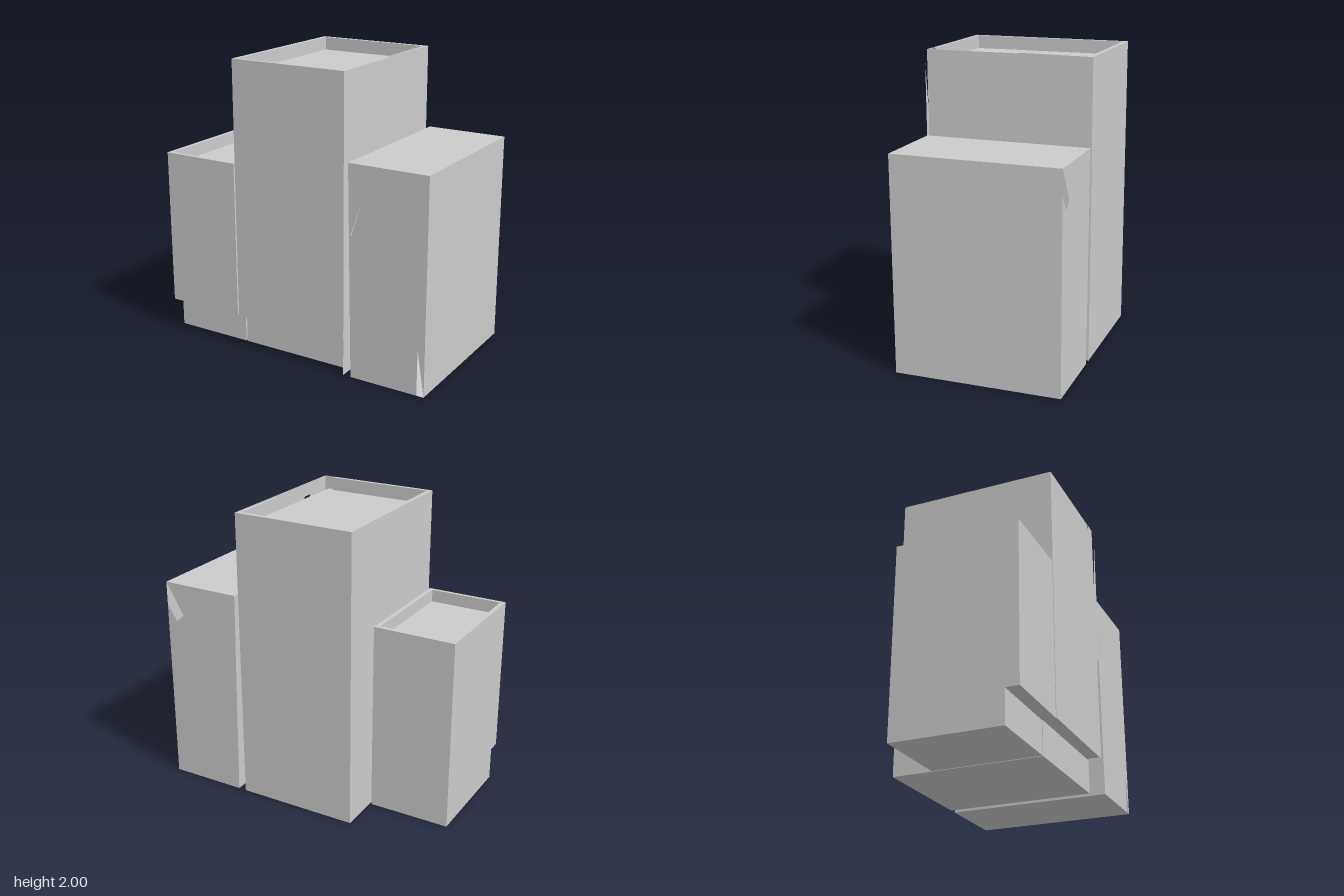
import * as THREE from 'three';

const grey = new THREE.MeshStandardMaterial({ color: 0xcccccc, flatShading: true, side: THREE.DoubleSide });

const shapeOf = pts => new THREE.Shape(pts.map(p => new THREE.Vector2(...p)));

function add(parent, name, geometry) {
  const mesh = new THREE.Mesh(geometry, grey);
  mesh.name = name;
  parent.add(mesh);
  return mesh;
}

// Flat panel facing z, outline in (x, y)
function panelZ(parent, name, pts, z, back = false, slit) {
  const shape = shapeOf(pts);
  if (slit) shape.holes.push(shapeOf(slit));
  const g = new THREE.ShapeGeometry(shape);
  if (back) {
    g.index.array.reverse();
    g.computeVertexNormals();
  }
  g.translate(0, 0, z);
  return add(parent, name, g);
}

// Flat panel facing +x, outline in (z, y)
function panelX(parent, name, pts, x, slit) {
  const shape = shapeOf(pts.map(([z, y]) => [-z, y]));
  if (slit) shape.holes.push(shapeOf(slit.map(([z, y]) => [-z, y])));
  return add(parent, name, new THREE.ShapeGeometry(shape).rotateY(Math.PI / 2).translate(x, 0, 0));
}

// Solid body with a set-back plinth: side profile in (z, y), swept along x
function body(parent, x0, x1, back, front, plinthTop, top) {
  const shape = shapeOf([
    [-back, 0], [-back, top], [-front, top], [-front, plinthTop], [-0.45, plinthTop], [-0.45, 0],
  ]);
  const g = new THREE.ExtrudeGeometry(shape, { depth: x1 - x0, bevelEnabled: false });
  add(parent, 'body', g.rotateY(Math.PI / 2).translate(x0, 0, 0));
}

// Parapet: plan outline in (x, z), raised from y0 to y1
function parapet(parent, pts, y0, y1, hole) {
  const shape = shapeOf(pts.map(([x, z]) => [x, -z]));
  if (hole) shape.holes.push(shapeOf(hole.map(([x, z]) => [x, -z])));
  const g = new THREE.ExtrudeGeometry(shape, { depth: y1 - y0, bevelEnabled: false });
  add(parent, 'parapet', g.rotateX(-Math.PI / 2).translate(0, y0, 0));
}

const rect = (a, b, c, d) => [[a, b], [c, b], [c, d], [a, d]];

export function createModel() {
  const model = new THREE.Group();
  model.name = 'buildingCluster';
  const section = name => {
    const g = new THREE.Group();
    g.name = name;
    model.add(g);
    return g;
  };

  // Low block with a sunken roof
  const low = section('lowBlock');
  body(low, -1, -0.44, -0.29, 0.54, 0.225, 1.22);
  parapet(low, rect(-1, -0.29, -0.44, 0.54), 1.22, 1.305, rect(-0.97, -0.26, -0.47, 0.515));

  // Tall block: solid core, three-sided parapet and a thin outer side wall
  const tall = section('tallBlock');
  body(tall, -0.43, 0.375, -0.57, 0.54, 0.23, 1.91);
  parapet(tall, [
    [-0.43, -0.57], [0.405, -0.57], [0.375, -0.07], [0.375, -0.54],
    [-0.4, -0.54], [-0.4, 0.515], [0.33, 0.515], [0.31, 0.54], [-0.43, 0.54],
  ], 1.91, 2);
  panelX(tall, 'sideWall', rect(-0.57, 0, 0.54, 2), 0.405,
    [[0.33, 1.91], [0.26, 1.91], [0.12, 1.44], [0.14, 1.44]]);
  panelZ(tall, 'frontEdge', rect(0.31, 0.23, 0.405, 2), 0.541);
  panelZ(tall, 'plinthEdge', rect(0.35, 0, 0.405, 0.23), 0.45);
  panelZ(tall, 'backEdge', rect(0.37, 0, 0.405, 2), -0.57, true);
  add(tall, 'baseEdge', new THREE.PlaneGeometry(0.03, 1.02).rotateX(Math.PI / 2).translate(0.39, 0, -0.06));
  panelZ(tall, 'cornerTrim', [[0.35, 0.94], [0.405, 0.94], [0.405, 1.91], [0.35, 1.43]], 0.556);

  // Plain block with a leaning inner wall and chipped corners
  const plain = section('plainBlock');
  panelZ(plain, 'frontWall', [
    [0.46, 0], [0.94, 0], [0.94, 0.32], [0.99, 0], [0.99, 1.44], [0.435, 1.44],
  ], 0.54, false, [[0.452, 0.97], [0.46, 0.97], [0.535, 1.21]]);
  panelZ(plain, 'backWall', [
    [0.46, 0], [0.99, 0], [0.99, 1.28], [0.92, 1.17], [0.86, 1.22], [0.99, 1.44], [0.435, 1.44],
  ], -0.57, true);
  panelX(plain, 'outerWall', rect(-0.57, 0, 0.54, 1.44), 0.99);
  const lean = add(plain, 'innerWall', new THREE.PlaneGeometry(1.11, 1.44).rotateY(-Math.PI / 2));
  const p = lean.geometry.attributes.position;
  for (let i = 0; i < p.count; i++) p.setX(i, p.getY(i) > 0 ? 0.435 : 0.46);
  lean.position.set(0, 0.72, -0.015);
  add(plain, 'roof', new THREE.PlaneGeometry(0.555, 1.11).rotateX(-Math.PI / 2).translate(0.7125, 1.44, -0.015));
  add(plain, 'base', new THREE.PlaneGeometry(0.53, 1.11).rotateX(Math.PI / 2).translate(0.725, 0, -0.015));

  return model;
}
